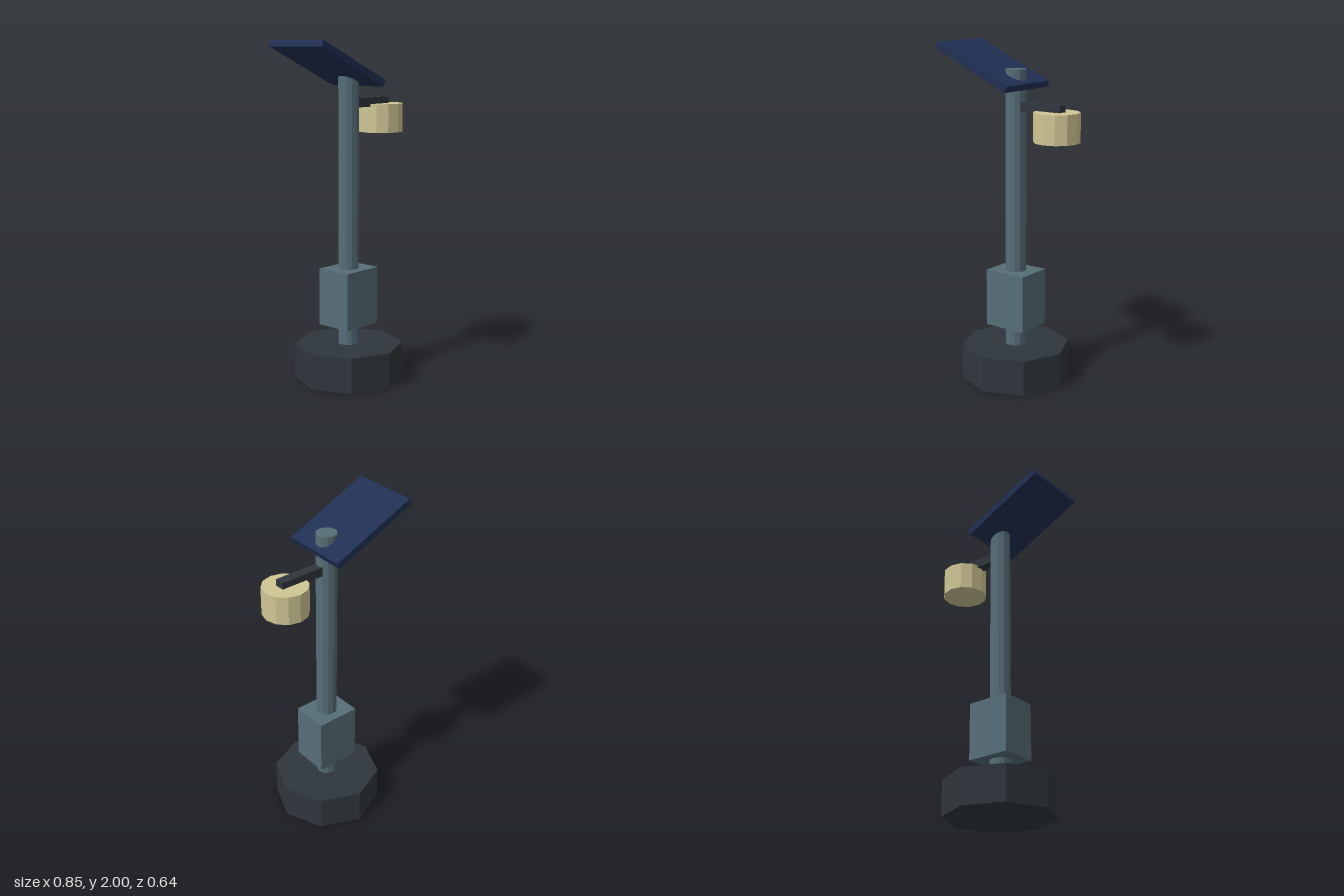
import * as THREE from 'three';

const paint = (name, color) => {
  const m = new THREE.MeshStandardMaterial({ color });
  m.name = name;
  return m;
};

export function createModel() {
  const slate = paint('slate grey', 0x566e78);
  const charcoal = paint('charcoal', 0x2f363c);
  const navy = paint('navy', 0x203054);
  const cream = paint('cream', 0xd0c694);
  const model = new THREE.Group();
  model.name = 'solarLampPost';

  const add = (name, geometry, material, x, y, z = 0) => {
    const mesh = new THREE.Mesh(geometry, material);
    mesh.name = name;
    mesh.position.set(x, y, z);
    model.add(mesh);
    return mesh;
  };
  // Faceted prism standing between two heights
  const prism = (name, radius, sides, y0, y1, x, material) => {
    const g = new THREE.CylinderGeometry(radius, radius, y1 - y0, sides).toNonIndexed();
    g.computeVertexNormals();
    return add(name, g, material, x, (y0 + y1) / 2);
  };

  const axis = 0.005;
  // Octagonal foot, pole and battery box share one axis
  prism('base', 0.322, 8, 0, 0.21, axis, charcoal);
  prism('pole', 0.061, 12, 0.2, 1.853, axis, slate);
  add('batteryBox', new THREE.BoxGeometry(0.266, 0.34, 0.224), slate, axis, 0.499);

  // Side arm carrying the lamp
  add('arm', new THREE.BoxGeometry(0.325, 0.054, 0.058), charcoal, 0.166, 1.641);
  prism('lamp', 0.133, 12, 1.46, 1.629, 0.291, cream);

  // Tilted solar panel, pierced by the pole top
  const panel = add('solarPanel', new THREE.BoxGeometry(0.553, 0.04, 0.4), navy, -0.166, 1.869);
  panel.rotation.z = -0.419;

  return model;
}
